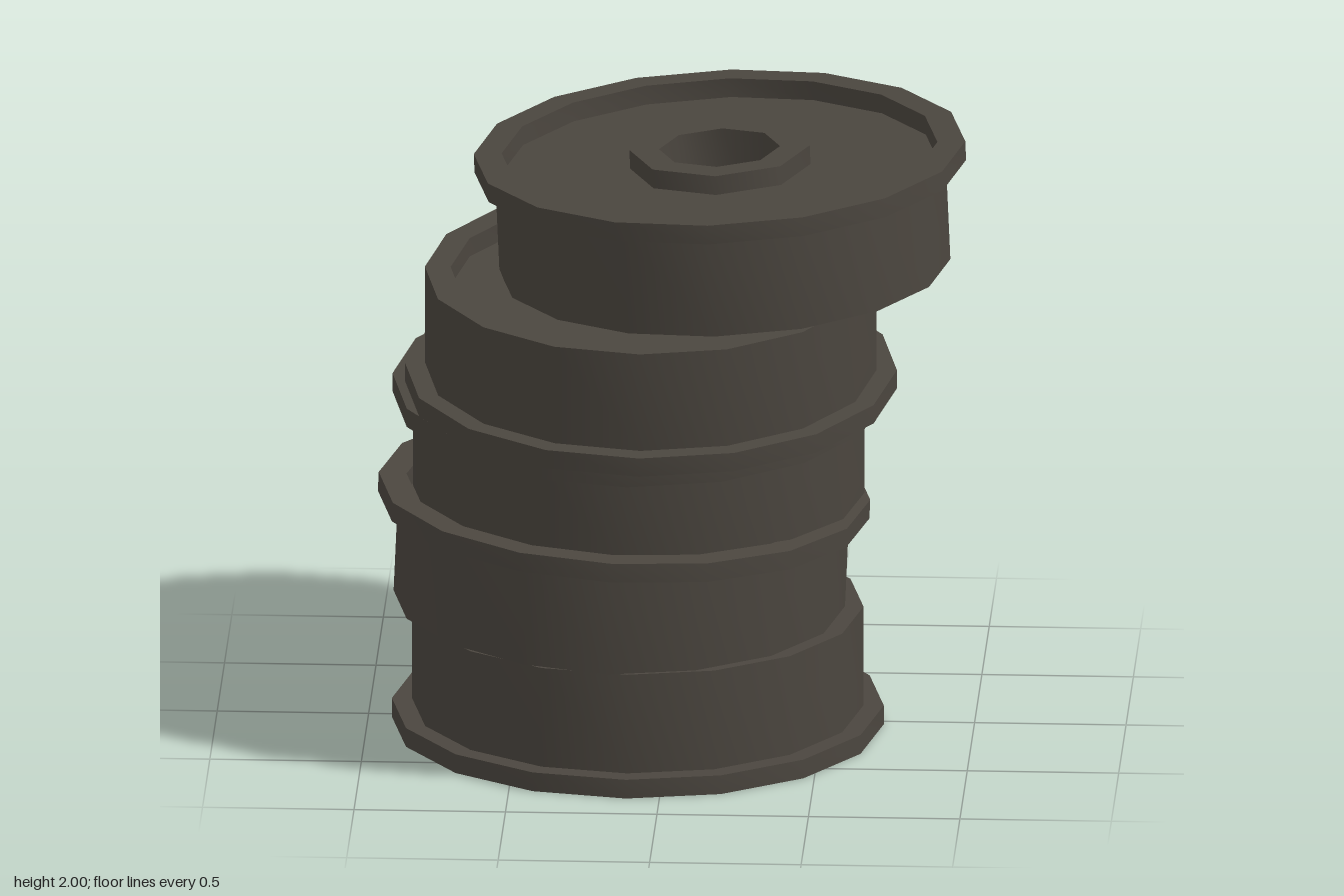
import * as THREE from 'three';
import { toCreasedNormals } from 'three/addons/utils/BufferGeometryUtils.js';

const H = 0.204;      // half the wheel height
const WEB = 0.139;    // half the thickness of the recessed web

// Closed profile turned around y; points run counter-clockwise in (radius, y)
function turned(points, sides) {
  const loop = [...points, points[0]].map(([r, y]) => new THREE.Vector2(r, y));
  return toCreasedNormals(new THREE.LatheGeometry(loop, sides), 0.9);
}

export function createModel() {
  const model = new THREE.Group();
  model.name = 'wheelStack';
  const steel = new THREE.MeshStandardMaterial({ color: 0x4b463f });
  steel.name = 'dark steel';

  // Flanged rim with a recessed web, flange at the bottom
  const rimGeometry = turned([
    [0.25, -WEB], [0.72, -WEB], [0.72, -H], [0.812, -H], [0.812, -H + 0.065],
    [0.745, -H + 0.065], [0.745, H], [0.66, H], [0.66, WEB], [0.25, WEB],
  ], 16);
  // Octagonal hub with an open bore
  const hubGeometry = turned([[0.2, -H], [0.298, -H], [0.298, H], [0.2, H]], 8);

  // Centre, tilt in degrees about x and z, and whether the flange is on top
  const wheels = [
    { at: [-0.11, 0.204, 0.03], tx: 0, tz: 0, flip: false },
    { at: [-0.163, 0.611, 0.03], tx: 0, tz: -2.5, flip: true },
    { at: [-0.11, 0.975, -0.03], tx: 3.5, tz: 0, flip: true },
    { at: [-0.065, 1.384, 0.078], tx: 3.5, tz: 0, flip: false },
    { at: [0.164, 1.761, -0.063], tx: 0, tz: 2.5, flip: true },
  ];
  wheels.forEach(({ at, tx, tz, flip }, i) => {
    const wheel = new THREE.Group();
    wheel.name = `wheel${i + 1}`;
    const rim = new THREE.Mesh(rimGeometry, steel);
    rim.name = 'flangedRim';
    const hub = new THREE.Mesh(hubGeometry, steel);
    hub.name = 'hub';
    if (flip) rim.rotation.x = Math.PI;
    wheel.add(rim, hub);
    wheel.position.set(...at);
    wheel.rotation.set(THREE.MathUtils.degToRad(tx), 0, THREE.MathUtils.degToRad(tz));
    model.add(wheel);
  });
  return model;
}
